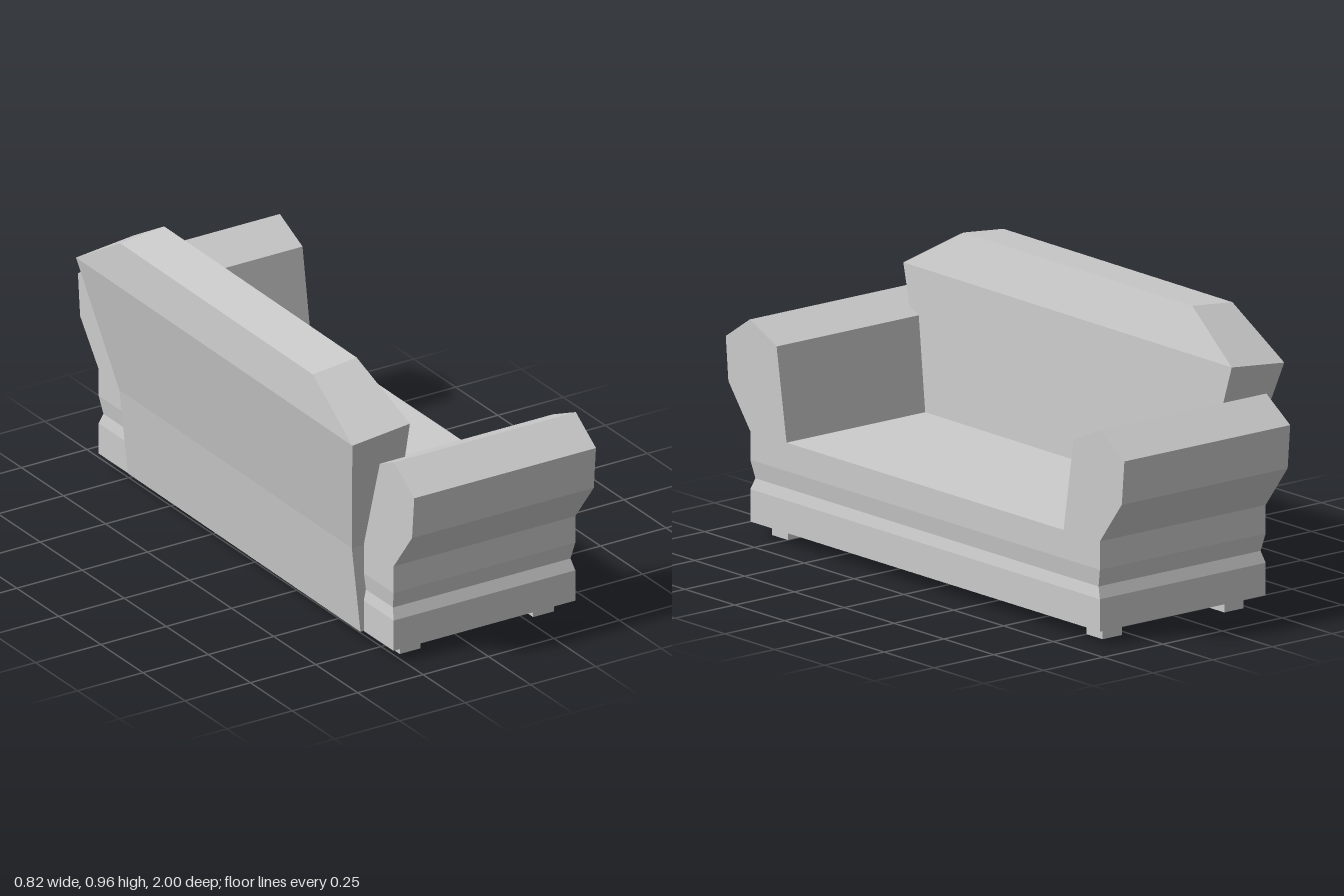
import * as THREE from 'three';

const material = new THREE.MeshStandardMaterial({ color: 0xcccccc, flatShading: true });

function addMesh(parent, name, geometry) {
  const mesh = new THREE.Mesh(geometry, material);
  mesh.name = name;
  parent.add(mesh);
  return mesh;
}

// Closed solid through four-cornered rings, listed from bottom to top.
// Each ring: back edge [x, y], front edge [x, y], half width in z.
function loft(rings) {
  const loops = rings.map(([[bx, by], [fx, fy], z]) => [
    [bx, by, z], [fx, fy, z], [fx, fy, -z], [bx, by, -z],
  ]);
  const positions = [];
  const quad = (a, b, c, d) => positions.push(...a, ...b, ...c, ...a, ...c, ...d);
  for (let i = 0; i < loops.length - 1; i++) {
    const lo = loops[i], hi = loops[i + 1];
    for (let k = 0; k < 4; k++) {
      const n = (k + 1) % 4;
      quad(lo[k], lo[n], hi[n], hi[k]);
    }
  }
  const [a, b, c, d] = loops[0];
  quad(d, c, b, a);
  quad(...loops[loops.length - 1]);
  const geometry = new THREE.BufferGeometry();
  geometry.setAttribute('position', new THREE.Float32BufferAttribute(positions, 3));
  geometry.computeVertexNormals();
  return geometry;
}

export function createModel() {
  const sofa = new THREE.Group();
  sofa.name = 'sofa';
  const backX = -0.284, frontX = 0.411;

  // Seat base with a shallow groove running all the way round
  const baseRings = [[0.044, 0], [0.152, 0], [0.19, 0.008], [0.25, 0], [0.345, 0]];
  addMesh(sofa, 'seatBase', loft(baseRings.map(([y, inset]) =>
    [[backX + inset, y], [frontX - inset, y], 0.877 - 2 * inset])));

  // Flared arms: one outline in (z, y), mirrored and extruded along x
  const outline = [
    [0.695, 0.345], [0.877, 0.345], [0.987, 0.49], [1, 0.637], [0.88, 0.717], [0.745, 0.655],
  ];
  for (const side of [1, -1]) {
    const shape = new THREE.Shape(outline.map(([z, y]) => new THREE.Vector2(-side * z, y)));
    const geometry = new THREE.ExtrudeGeometry(shape, { depth: frontX - backX, bevelEnabled: false });
    geometry.rotateY(Math.PI / 2).translate(backX, 0, 0);
    addMesh(sofa, side > 0 ? 'rightArm' : 'leftArm', geometry);
  }

  // Leaning backrest, widening above the seat and chamfered at the top corners
  const backrest = loft([
    [[-0.291, 0.044], [-0.15, 0.048], 0.7],
    [[-0.324, 0.35], [-0.165, 0.356], 0.7],
    [[-0.406, 0.79], [-0.186, 0.812], 0.832],
    [[-0.397, 0.94], [-0.229, 0.957], 0.58],
  ]);
  // Slight skew along its length
  const p = backrest.attributes.position;
  for (let i = 0; i < p.count; i++) p.setX(i, p.getX(i) - 0.008 * p.getZ(i));
  backrest.computeVertexNormals();
  addMesh(sofa, 'backrest', backrest);

  // Four square feet
  for (const x of [-0.19, 0.32]) {
    for (const z of [-0.79, 0.79]) {
      addMesh(sofa, 'foot', new THREE.BoxGeometry(0.08, 0.046, 0.08)).position.set(x, 0.023, z);
    }
  }

  return sofa;
}
